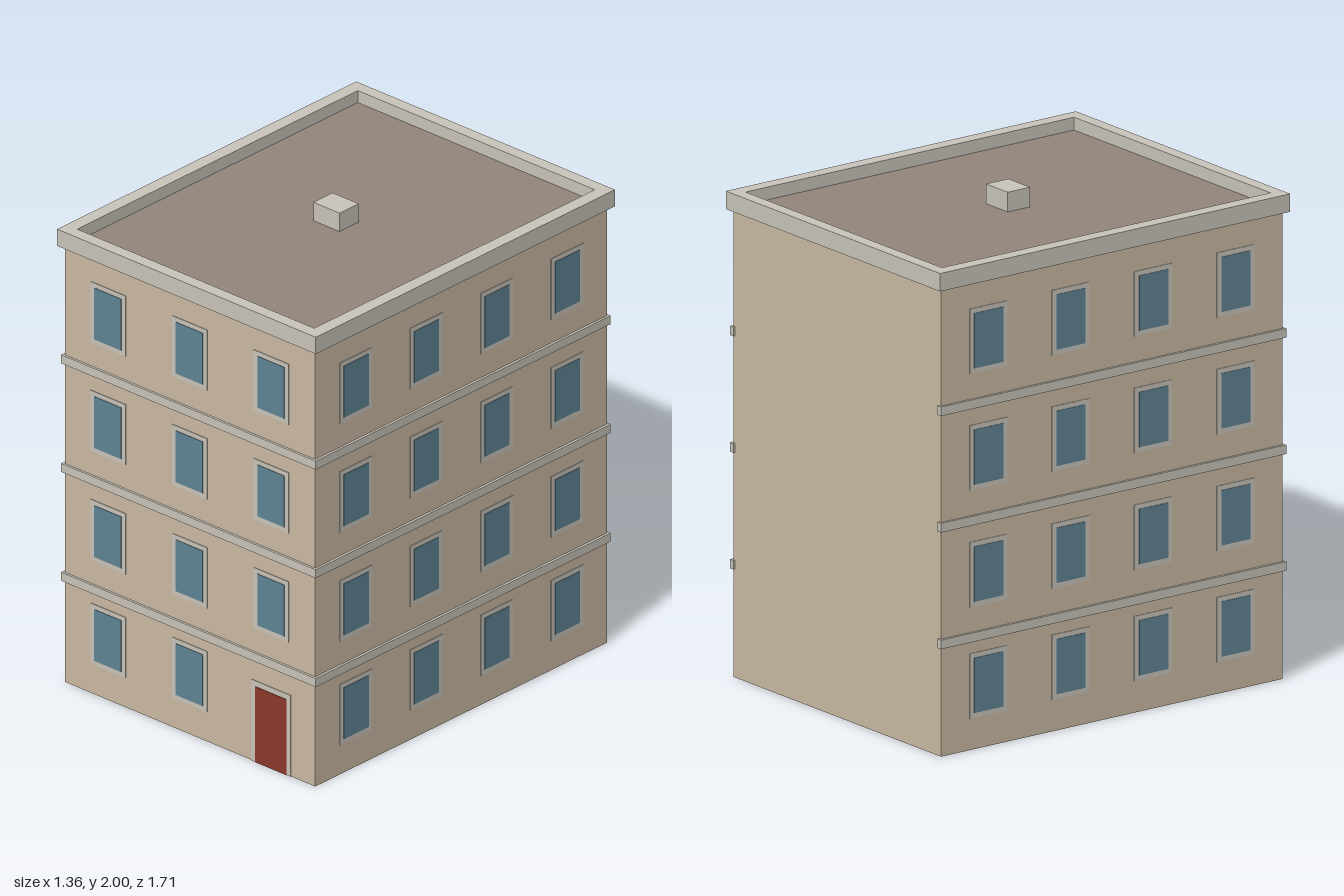
import * as THREE from 'three';

const mat = (name, color) => {
  const m = new THREE.MeshStandardMaterial({ color });
  m.name = name;
  return m;
};

export function createModel() {
  const wall = mat('wall plaster', 0xc9b9a1);
  const trim = mat('stone trim', 0xc8c4ba);
  const glass = mat('window glass', 0x5f8393);
  const red = mat('door red', 0x8b382c);
  const roofing = mat('roofing', 0x92857b);

  const building = new THREE.Group();
  building.name = 'apartmentBuilding';
  const HX = 0.66, HZ = 0.836, WALL_TOP = 1.9;

  const box = (name, parent, material, w, h, d, x, y, z) => {
    const m = new THREE.Mesh(new THREE.BoxGeometry(w, h, d), material);
    m.name = name;
    m.position.set(x, y, z);
    parent.add(m);
    return m;
  };

  // Main block, roof deck and rooftop vent
  box('walls', building, wall, HX * 2, WALL_TOP, HZ * 2, 0, WALL_TOP / 2, 0);
  box('roofDeck', building, roofing, 1.26, 0.02, 1.62, 0, 1.91, 0);
  box('roofVent', building, trim, 0.138, 0.08, 0.11, 0, 1.96, 0);

  // Parapet ring around the roof
  const rect = (Type, x, z) => new Type().moveTo(-x, -z).lineTo(x, -z).lineTo(x, z).lineTo(-x, z).closePath();
  const ring = rect(THREE.Shape, 0.682, 0.857);
  ring.holes.push(rect(THREE.Path, 0.625, 0.804));
  const ringGeo = new THREE.ExtrudeGeometry(ring, { depth: 0.073, bevelEnabled: false });
  ringGeo.rotateX(-Math.PI / 2);
  const parapet = new THREE.Mesh(ringGeo, trim);
  parapet.name = 'parapet';
  parapet.position.y = 1.899;
  building.add(parapet);

  // String courses on the front and both sides
  for (const y of [0.459, 0.933, 1.406]) {
    box('frontBand', building, trim, 1.342, 0.037, 0.02, 0, y, HZ);
    for (const s of [-1, 1]) box('sideBand', building, trim, 0.022, 0.037, 1.69, s * HX, y, 0);
  }

  // Each facade is a group whose local +z points out of the wall
  const facade = (name, angle, distance) => {
    const g = new THREE.Group();
    g.name = name;
    g.rotation.y = angle;
    g.position.set(Math.sin(angle) * distance, 0, Math.cos(angle) * distance);
    building.add(g);
    return g;
  };
  const addWindow = (parent, x, y) => {
    box('windowFrame', parent, trim, 0.184, 0.264, 0.004, x, y, 0.001);
    box('windowGlass', parent, glass, 0.142, 0.224, 0.006, x, y, 0.002);
  };

  const floors = [0.26, 0.712, 1.187, 1.66];
  const front = facade('frontFacade', 0, HZ);
  const sides = [facade('leftFacade', Math.PI / 2, HX), facade('rightFacade', -Math.PI / 2, HX)];
  floors.forEach((y, floor) => {
    for (const x of [-0.43, 0, 0.43]) {
      if (floor === 0 && x > 0) continue; // place for the door
      addWindow(front, x, y);
    }
    for (const side of sides) for (const x of [-0.605, -0.202, 0.202, 0.605]) addWindow(side, x, y);
  });

  // Front door with surround
  box('doorFrame', front, trim, 0.206, 0.353, 0.004, 0.43, 0.1765, 0.001);
  box('door', front, red, 0.165, 0.329, 0.006, 0.43, 0.1645, 0.002);

  return building;
}
